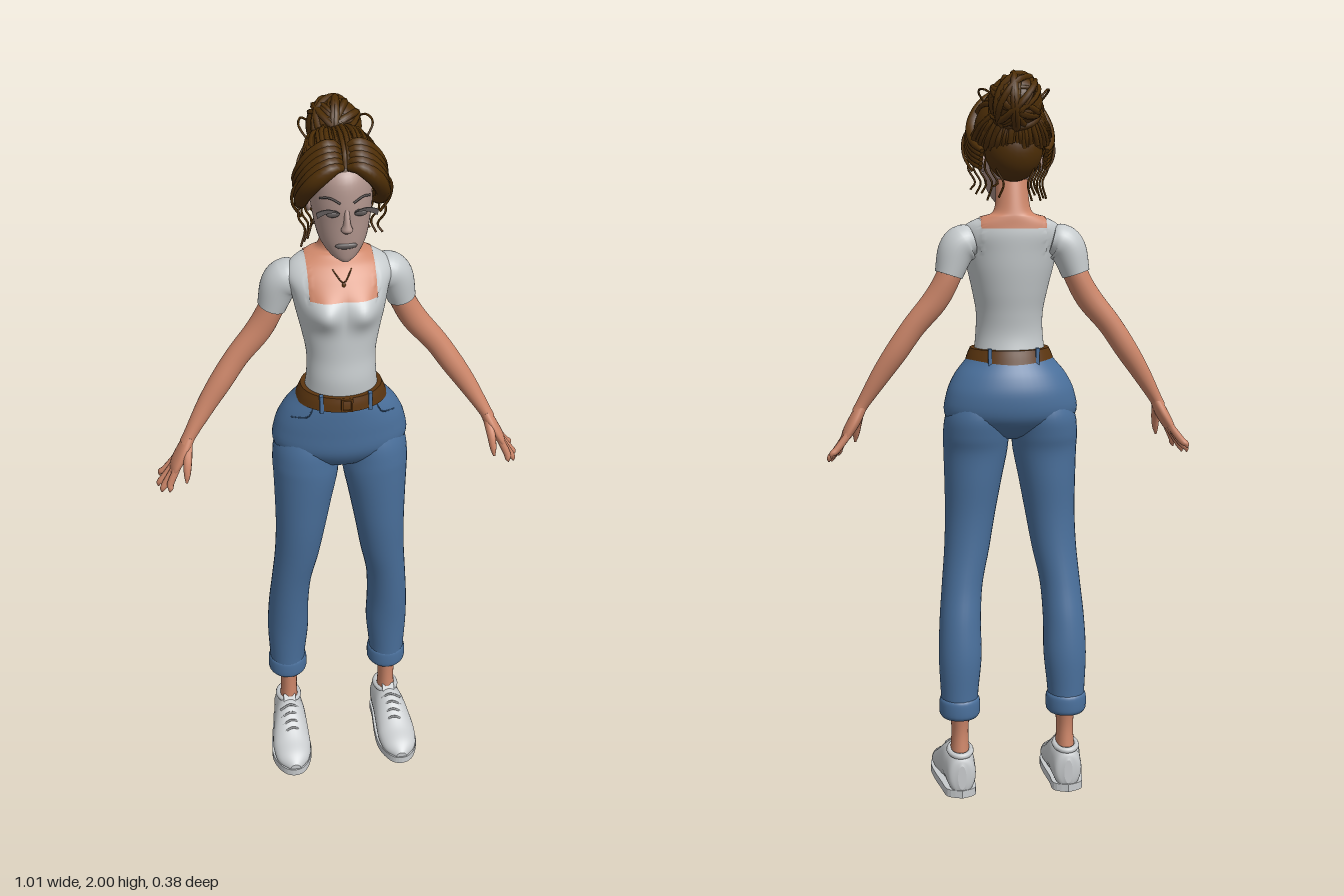
import * as THREE from 'three';
import { mergeGeometries } from 'three/addons/utils/BufferGeometryUtils.js';

const mat = (name, color) => Object.assign(new THREE.MeshStandardMaterial({ color }), { name });
const V = (x, y, z) => new THREE.Vector3(x, y, z);
const UP = V(0, 1, 0), DOWN = V(0, -1, 0), FRONT = V(0, 0, 1);

// Smooth skin through oval sections [x, y, z, ra, rb]; `axis` fixes the section plane,
// `move` shifts vertices, `pick` chooses a material index for each quad.
function sweep(rows, { seg = 24, sub = 5, axis, ref = FRONT, move, pick } = {}) {
  const path = new THREE.CatmullRomCurve3(rows.map(r => V(r[0], r[1], r[2])), false, 'catmullrom');
  const size = new THREE.CatmullRomCurve3(rows.map(r => V(r[3], r[4], 0)), false, 'catmullrom');
  const n = (rows.length - 1) * sub, pos = [], lists = [[], []];
  for (let i = 0; i <= n; i++) {
    const c = path.getPoint(i / n), s = size.getPoint(i / n);
    const t = axis ? axis.clone() : path.getTangent(i / n);
    const a = t.clone().cross(ref).normalize(), b = t.clone().cross(a).normalize();
    for (let j = 0; j < seg; j++) {
      const w = j / seg * Math.PI * 2;
      const p = c.clone().addScaledVector(a, Math.cos(w) * s.x).addScaledVector(b, Math.sin(w) * s.y);
      if (move) move(p);
      pos.push(p.x, p.y, p.z);
    }
  }
  const at = (k, d) => pos[k * 3 + d];
  for (let i = 0; i < n; i++) for (let j = 0; j < seg; j++) {
    const q = [i * seg + j, i * seg + (j + 1) % seg, (i + 1) * seg + (j + 1) % seg, (i + 1) * seg + j];
    const mid = d => q.reduce((sum, k) => sum + at(k, d), 0) / 4;
    lists[pick ? pick(mid(0), mid(1), mid(2)) : 0].push(q[0], q[1], q[2], q[0], q[2], q[3]);
  }
  // end caps with their own vertices
  for (const end of [0, n]) {
    const base = pos.length / 3, c = [0, 0, 0];
    for (let j = 0; j < seg; j++) for (let d = 0; d < 3; d++) {
      const v = at(end * seg + j, d);
      pos.push(v);
      c[d] += v / seg;
    }
    pos.push(...c);
    for (let j = 0; j < seg; j++) {
      const e = [base + j, base + (j + 1) % seg];
      if (end === 0) e.reverse();
      lists[pick && end ? 1 : 0].push(base + seg, ...e);
    }
  }
  const g = new THREE.BufferGeometry();
  g.setAttribute('position', new THREE.Float32BufferAttribute(pos, 3));
  g.setIndex([...lists[0], ...lists[1]]);
  if (pick) {
    g.addGroup(0, lists[0].length, 0);
    g.addGroup(lists[0].length, lists[1].length, 1);
  }
  g.computeVertexNormals();
  return g;
}
const strand = (pts, r, steps = 14) =>
  new THREE.TubeGeometry(new THREE.CatmullRomCurve3(pts), steps, r, 5);
const ball = (x, y, z, rx, ry, rz) =>
  new THREE.SphereGeometry(1, 28, 20).scale(rx, ry, rz).translate(x, y, z);

export function createModel() {
  const root = new THREE.Group();
  const shirt = mat('shirt grey', 0xc5cacc), denim = mat('denim blue', 0x4a709c), seam = mat('seam blue', 0x3c5f88);
  const skin = mat('skin', 0xce876a), face = mat('face', 0xb1958d), hair = mat('hair brown', 0x4f2f06);
  const leather = mat('leather brown', 0x5c3610), shoe = mat('shoe white', 0xc8cbcd);
  const lace = mat('lace grey', 0xa9abad), dark = mat('feature grey', 0x605a59);
  const add = (name, geo, m, parent = root) => {
    const mesh = new THREE.Mesh(geo, m);
    mesh.name = name;
    parent.add(mesh);
  };
  let seed = 7;
  const rnd = () => (seed = (seed * 16807) % 2147483647) / 2147483647;

  // Torso: shirt with a square neckline, skin above it
  add('torso', sweep([
    [0, 1.235, .022, .1, .085], [0, 1.3, .03, .093, .082], [0, 1.36, .024, .092, .082], [0, 1.42, .017, .103, .087],
    [0, 1.48, .01, .117, .09], [0, 1.53, .003, .128, .088], [0, 1.57, -.01, .14, .078], [0, 1.6, -.022, .125, .064],
    [0, 1.622, -.034, .085, .05], [0, 1.64, -.037, .05, .043], [0, 1.72, -.02, .042, .042]], {
    seg: 96, sub: 7, axis: UP,
    move: p => {
      if (p.z > 0) p.z += .03 * Math.exp(-((Math.abs(p.x) - .052) ** 2) / .0018 - ((p.y - 1.495) ** 2) / .0016);
      // line the vertices up along the neckline's upright edges
      if (p.y > 1.515 && Math.abs(Math.abs(p.x) - .088) < .0045) p.x = Math.sign(p.x) * .088;
    },
    pick: (x, y, z) => (y > 1.628 || (Math.abs(x) < .088 && y > (z > -.02 ? 1.527 : 1.592)) ? 1 : 0),
  }), [shirt, skin]);

  // Necklace
  add('necklace', strand([V(-.047, 1.632, -.018), V(-.034, 1.612, .017), V(-.018, 1.59, .052), V(0, 1.572, .069),
    V(.018, 1.59, .052), V(.034, 1.612, .017), V(.047, 1.632, -.018)], .002, 30), leather);
  add('pendant', ball(0, 1.567, .071, .005, .007, .004), leather);

  // Jeans seat, belt and buckle
  add('jeansSeat', sweep([
    [0, 1.262, .022, .1, .087], [0, 1.23, .018, .124, .1], [0, 1.19, .008, .156, .111], [0, 1.14, .001, .178, .116],
    [0, 1.08, .002, .181, .109], [0, 1.035, .008, .12, .075], [0, 1.015, .01, .05, .04]], { seg: 48, axis: DOWN }), denim);
  add('belt', sweep([[0, 1.226, .022, .124, .106], [0, 1.246, .024, .117, .102], [0, 1.264, .025, .109, .097]],
    { seg: 48, axis: UP }), leather);
  for (const x of [-.013, .013]) add('buckleSide', new THREE.BoxGeometry(.005, .036, .008).translate(x, 1.246, .127), leather);
  for (const y of [1.23, 1.262]) add('buckleBar', new THREE.BoxGeometry(.031, .005, .008).translate(0, y, .127), leather);
  for (const [x, z] of [[-.065, .108], [.065, .108], [-.065, -.062], [.065, -.062]])
    add('beltLoop', new THREE.BoxGeometry(.01, .05, .014).translate(x, 1.245, z), denim);

  for (const s of [-1, 1]) {
    const side = new THREE.Group();
    side.name = s > 0 ? 'leftLimbs' : 'rightLimbs';
    root.add(side);
    const put = (name, geo, m) => add(name, geo, m, side);
    const flip = rows => rows.map(([x, ...rest]) => [x * s, ...rest]);
    const P = (x, y, z) => V(x * s, y, z);

    // Trouser leg, cuff and ankle
    put('trouserLeg', sweep(flip([
      [.085, 1.17, 0, .05, .07], [.092, 1.09, .001, .085, .096], [.096, 1.03, .007, .091, .096],
      [.097, .98, .013, .089, .089], [.104, .9, .013, .08, .083],
      [.113, .8, .012, .07, .074], [.124, .7, .003, .063, .067], [.139, .6, -.012, .057, .063], [.147, .5, -.03, .058, .064],
      [.149, .4, -.043, .06, .062], [.152, .3, -.047, .053, .056], [.152, .24, -.048, .05, .054]]),
      { seg: 32, axis: DOWN }), denim);
    put('cuff', sweep(flip([[.152, .286, -.048, .051, .053], [.152, .274, -.049, .057, .058],
      [.152, .24, -.049, .057, .058], [.152, .228, -.049, .05, .052]]), { axis: DOWN }), denim);
    put('pocketSeam', strand([P(.085, 1.225, .092), P(.1, 1.2, .094), P(.14, 1.185, .059)], .002), seam);
    put('ankle', sweep(flip([[.151, .26, -.042, .03, .042], [.151, .18, -.038, .024, .034], [.152, .1, -.04, .028, .038]])), skin);

    // Sleeve and arm
    put('sleeve', sweep(flip([[.108, 1.559, -.03, .038, .045], [.13, 1.553, -.032, .05, .052],
      [.153, 1.53, -.036, .049, .05], [.173, 1.468, -.04, .038, .043]]), { seg: 32 }), shirt);
    put('arm', sweep(flip([
      [.15, 1.53, -.038, .036, .038], [.175, 1.462, -.04, .034, .038], [.21, 1.4, -.039, .035, .034],
      [.268, 1.33, -.035, .032, .03], [.315, 1.262, -.028, .031, .03], [.36, 1.195, -.018, .026, .025],
      [.405, 1.122, -.004, .018, .022], [.42, 1.095, 0, .017, .026]])), skin);

    // Hand with four fingers and a thumb
    put('palm', sweep(flip([[.408, 1.115, -.002, .015, .022], [.428, 1.075, .002, .017, .036],
      [.448, 1.04, .004, .015, .04], [.46, 1.018, .004, .009, .037]])), skin);
    const fingers = [[.474, .968, .042, .031], [.494, .956, .02, .014], [.502, .96, -.006, -.006], [.496, .976, -.034, -.025]];
    for (const [x, y, z, z0] of fingers)
      put('finger', sweep(flip([[.447, 1.04, z0, .01, .01], [(x + .464) / 2, (y + 1.02) / 2, (z + z0) / 2, .01, .0105],
        [x - .003, y + .012, z, .008, .0085], [x, y, z, .002, .002]]), { seg: 10, sub: 3 }), skin);
    put('thumb', sweep(flip([[.415, 1.09, .012, .012, .014], [.42, 1.06, .038, .012, .013],
      [.424, 1.025, .053, .009, .01], [.427, 1.002, .058, .003, .003]]), { seg: 10, sub: 3 }), skin);

    // Shoe: flat-bottomed upper, sole slab, collar, tongue and laces
    put('shoeUpper', sweep(flip([
      [.152, .06, -.103, .012, .035], [.152, .062, -.09, .038, .056], [.153, .066, -.04, .045, .062], [.155, .069, 0, .048, .068],
      [.158, .06, .035, .052, .062], [.161, .046, .075, .056, .049], [.162, .037, .11, .056, .038], [.163, .03, .15, .046, .029],
      [.162, .024, .183, .015, .013]]),
      { seg: 28, axis: FRONT, ref: UP, move: p => { p.y = Math.max(p.y, .012); } }), shoe);
    const outline = new THREE.Shape(new THREE.SplineCurve([[.152, .106], [.113, .085], [.109, .03], [.102, -.06], [.106, -.12],
      [.13, -.172], [.162, -.188], [.196, -.172], [.22, -.12], [.219, -.06], [.204, .03], [.192, .085], [.152, .106]]
      .map(([x, y]) => new THREE.Vector2(x * s, y))).getPoints(48));
    put('shoeSole', new THREE.ExtrudeGeometry(outline, { depth: .022, bevelEnabled: false }).rotateX(-Math.PI / 2), shoe);
    put('shoeCollar', new THREE.TorusGeometry(.031, .008, 8, 28).scale(1, 1.35, 1)
      .rotateX(Math.PI / 2 - .1).translate(.152 * s, .124, -.048), shoe);
    put('shoeTongue', new THREE.BoxGeometry(.036, .045, .009).rotateX(-.6).translate(.154 * s, .13, 0), shoe);
    for (let i = 0; i < 4; i++) {
      const z = .018 + i * .02, y = .133 - i * .013;
      put('lace', strand([P(.13, y - .015, z), P(.157, y, z + .003), P(.186, y - .015, z + .006)], .0035, 8), lace);
    }

    // Ear, eye, lashes and brow
    put('ear', ball(.077 * s, 1.765, -.015, .009, .026, .016), face);
    put('eye', ball(.034 * s, 1.78, .112, .017, .009, .006), dark);
    const lash = new THREE.Shape();
    lash.moveTo(.018 * s, 1.785).quadraticCurveTo(.045 * s, 1.806, .077 * s, 1.79)
      .lineTo(.074 * s, 1.776).quadraticCurveTo(.045 * s, 1.795, .018 * s, 1.785);
    put('eyelashes', new THREE.ExtrudeGeometry(lash, { depth: .004, bevelEnabled: false }).translate(0, 0, .121), dark);
    put('eyebrow', strand([P(.016, 1.808, .118), P(.04, 1.82, .109), P(.062, 1.812, .083)], .003), dark);
  }

  // Face, nose and mouth
  add('face', sweep([
    [0, 1.645, .088, .012, .014], [0, 1.66, .07, .036, .037], [0, 1.695, .045, .06, .067], [0, 1.75, .031, .073, .084],
    [0, 1.8, .024, .078, .093], [0, 1.86, .01, .077, .097], [0, 1.905, 0, .05, .065]], { seg: 40, axis: UP }), face);
  add('nose', sweep([[0, 1.79, .112, .006, .006], [0, 1.755, .118, .009, .014], [0, 1.738, .117, .015, .018],
    [0, 1.728, .112, .008, .008]], { seg: 14, axis: DOWN }), face);
  add('mouth', ball(0, 1.692, .107, .028, .009, .008), dark);

  // Hair: cap, nape and bun masses
  const C = V(0, 1.845, -.012), R = V(.1, .1, .112), B = V(.004, 1.92, -.113);
  add('hairCap', ball(...C, ...R), hair);
  add('hairNape', ball(0, 1.802, -.058, .078, .088, .066), hair);
  add('hairBun', ball(...B, .071, .068, .064), hair);

  // Strands combed over the cap to the bun, and coils around the bun
  const locks = [];
  const onCap = (d, k) => d.clone().normalize().multiply(R).multiplyScalar(k).add(C);
  for (let i = 0; i < 64; i++) {
    const w = i / 64 * Math.PI * 2, dz = Math.cos(w);
    const from = V(Math.sin(w), dz > .4 ? .45 : -.3 - .25 * rnd(), dz), to = V(Math.sin(w) * .25, .6, -.85);
    const pts = [0, .25, .5, .75, 1].map(t => onCap(from.clone().normalize().lerp(to, t), 1 + .06 * rnd()));
    locks.push(strand(pts, .004 + .005 * rnd()));
  }
  for (let i = 0; i < 18; i++) {
    locks.push(new THREE.TorusGeometry(.064 + .008 * rnd(), .005 + .005 * rnd(), 5, 28)
      .rotateX(rnd() * 3).rotateY(rnd() * 3).rotateZ(rnd() * 3).translate(...B));
  }
  locks.push(new THREE.TorusGeometry(.056, .014, 8, 28).rotateX(.9).translate(0, 1.893, -.085));
  // loose tendrils at the temples and nape, and stray loops beside the bun
  for (const s of [-1, 1]) {
    for (let i = 0; i < 6; i++) {
      const x = s * (.1 - .012 * i), z = .035 - .026 * i, low = 1.66 + .05 * rnd();
      locks.push(strand([V(x, 1.8, z), V(x + s * .01, 1.75, z + .008), V(x - s * .008, 1.71, z - .004),
        V(x + s * .004, low, z + .004)], .003));
    }
    locks.push(strand([V(s * .06, 1.9, -.02), V(s * .092, 1.945, -.05), V(s * .082, 1.95, -.1), V(s * .05, 1.92, -.15)], .003));
    locks.push(strand([V(s * .09, 1.87, .06), V(s * .12, 1.83, .05), V(s * .122, 1.78, .03), V(s * .1, 1.74, .02)], .004));
  }
  add('hairStrands', mergeGeometries(locks), hair);

  // Parted fringe sweeping down past each temple
  for (const s of [-1, 1]) for (let i = 0; i < 5; i++) {
    const k = i * .011;
    add('fringeLock', sweep([
      [s * .006, 1.888 + k * .7, .09 - k, .008, .008], [s * .036, 1.89 + k, .104 - k, .018, .016],
      [s * .073, 1.86 + k, .098 - k * 1.2, .021, .018], [s * .098, 1.815 + k, .066 - k, .02, .016],
      [s * .1, 1.775 + k, .02 - k, .016, .014], [s * .086, 1.75 + k, -.035 - k, .006, .006]], { seg: 12, sub: 4 }), hair);
  }
  return root;
}
